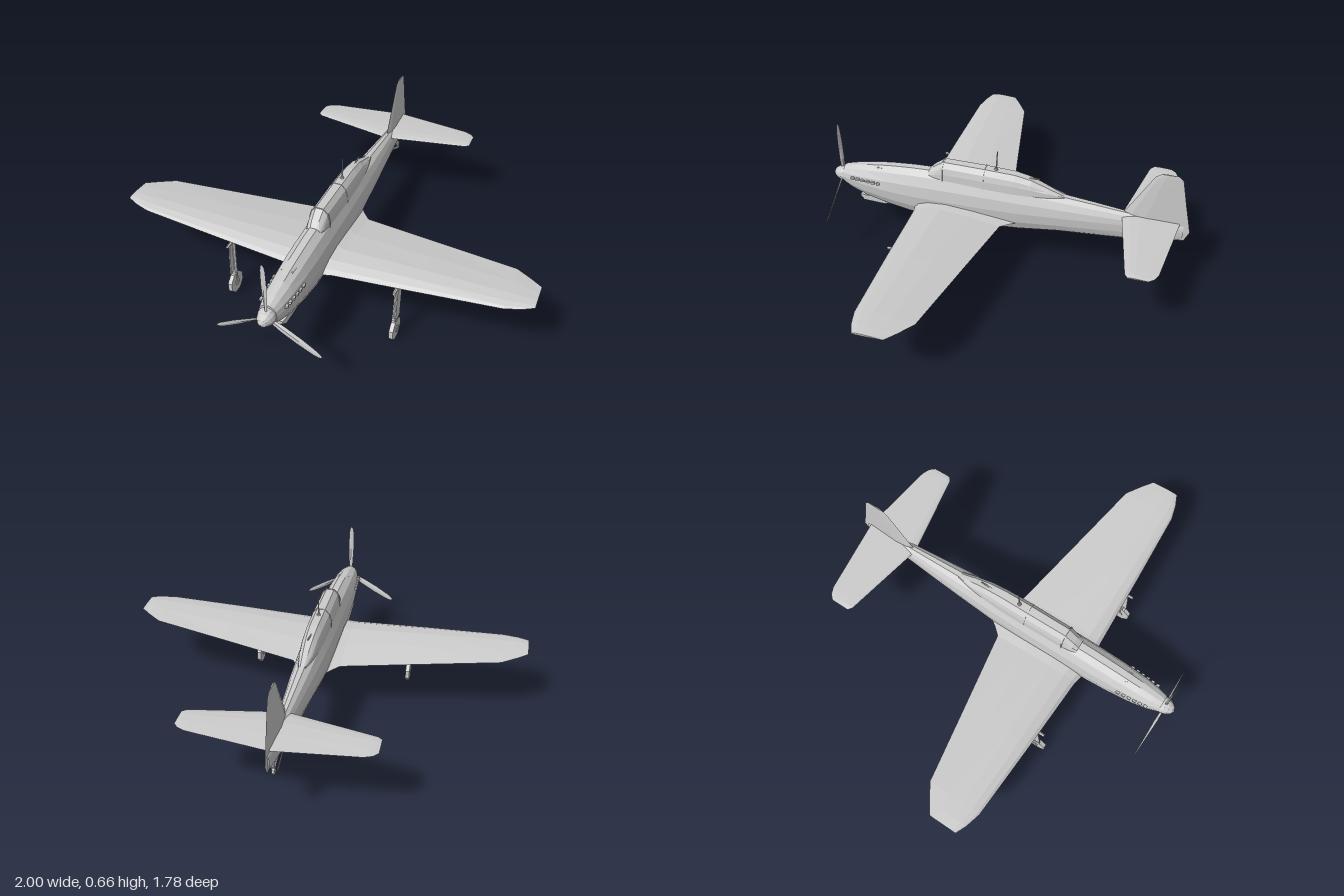
import * as THREE from 'three';

const mat = new THREE.MeshStandardMaterial({ color: 0xcccccc, flatShading: true, side: THREE.DoubleSide });

// Skin closed rings of [x, y, z] points, cap both ends, and turn faces outward.
function loft(rings) {
  const n = rings[0].length, pos = rings.flat(2), idx = [];
  for (let i = 0; i < rings.length - 1; i++)
    for (let j = 0; j < n; j++) {
      const a = i * n + j, b = i * n + (j + 1) % n;
      idx.push(a, b, a + n, b, b + n, a + n);
    }
  const last = (rings.length - 1) * n;
  for (let j = 1; j < n - 1; j++) {
    idx.push(0, j + 1, j);
    idx.push(last, last + j, last + j + 1);
  }
  let volume = 0;
  const p = k => new THREE.Vector3().fromArray(pos, k * 3);
  for (let t = 0; t < idx.length; t += 3) volume += p(idx[t]).dot(p(idx[t + 1]).cross(p(idx[t + 2])));
  if (volume < 0) idx.reverse();
  const g = new THREE.BufferGeometry();
  g.setAttribute('position', new THREE.Float32BufferAttribute(pos, 3));
  g.setIndex(idx);
  g.computeVertexNormals();
  return g;
}

function add(parent, name, geometry, x = 0, y = 0, z = 0) {
  const m = new THREE.Mesh(geometry, mat);
  m.name = name;
  m.position.set(x, y, z);
  parent.add(m);
  return m;
}

// Straight round bar between two points
function bar(parent, name, a, b, r0, r1 = r0, sides = 6) {
  const A = new THREE.Vector3(...a), B = new THREE.Vector3(...b), d = B.clone().sub(A);
  const m = add(parent, name, new THREE.CylinderGeometry(r1, r0, d.length(), sides));
  m.position.copy(A).add(B).multiplyScalar(0.5);
  m.quaternion.setFromUnitVectors(new THREE.Vector3(0, 1, 0), d.normalize());
  return m;
}

// Aerofoil: fraction of chord from the leading edge, height factor
const FOIL = [[0, 0], [0.04, 0.45], [0.14, 0.85], [0.32, 1], [0.62, 0.7], [1, 0.03],
  [0.62, -0.3], [0.32, -0.45], [0.12, -0.42], [0.03, -0.25]];

// Station: [x, leading z, trailing z, y, thickness]; mirrored to both sides
function wing(stations) {
  const ring = ([x, lead, trail, y, t], s) => FOIL.map(([f, h]) => [s * x, y + h * t, lead + (trail - lead) * f]);
  return loft([...stations.slice().reverse().map(s => ring(s, -1)), ...stations.map(s => ring(s, 1))]);
}

export function createModel() {
  const plane = new THREE.Group();
  plane.name = 'aeroplane';

  // Fuselage: [z, top, bottom, half width, height of widest point]
  const body = [
    [0.825, 0.425, 0.325, 0.042, 0.375], [0.78, 0.438, 0.3, 0.054, 0.372], [0.7, 0.456, 0.268, 0.066, 0.365],
    [0.58, 0.474, 0.238, 0.074, 0.355], [0.46, 0.484, 0.214, 0.077, 0.35], [0.34, 0.489, 0.206, 0.077, 0.35],
    [0.1, 0.488, 0.208, 0.076, 0.35], [-0.08, 0.478, 0.222, 0.071, 0.352], [-0.28, 0.457, 0.249, 0.06, 0.358],
    [-0.45, 0.439, 0.26, 0.047, 0.362], [-0.6, 0.422, 0.271, 0.034, 0.365], [-0.75, 0.408, 0.289, 0.021, 0.365],
    [-0.86, 0.39, 0.312, 0.009, 0.355]];
  add(plane, 'fuselage', loft(body.map(([z, top, low, w, mid]) =>
    Array.from({ length: 14 }, (_, i) => {
      const a = i / 14 * Math.PI * 2, c = Math.cos(a), s = Math.sin(a);
      return [w * Math.sign(c) * Math.abs(c) ** (s > 0 ? 1 : 0.8), mid + s * (s > 0 ? top - mid : mid - low), z];
    }))));

  // Canopy: [z, top, fold, half width]
  const canopySection = ([z, top, fold, w]) => [[-w, 0.43, z], [-w * 0.93, (fold + 0.46) / 2, z], [-w * 0.78, fold, z],
    [-w * 0.38, top, z], [w * 0.38, top, z], [w * 0.78, fold, z], [w * 0.93, (fold + 0.46) / 2, z], [w, 0.43, z]];
  const canopy = [[0.37, 0.485, 0.478, 0.038], [0.345, 0.51, 0.492, 0.045], [0.295, 0.545, 0.522, 0.05], [0.09, 0.542, 0.518, 0.052],
    [-0.06, 0.536, 0.512, 0.049], [-0.14, 0.52, 0.5, 0.044], [-0.22, 0.487, 0.475, 0.034], [-0.3, 0.452, 0.448, 0.018]];
  add(plane, 'canopy', loft(canopy.map(canopySection)));
  for (const [z, top, fold] of [[0.295, 0.547, 0.524], [0.09, 0.544, 0.52]])
    add(plane, 'canopyFrame', loft([z - 0.003, z + 0.003].map(q => canopySection([q, top, fold, 0.0535]))));

  // Wings, tailplane and fin
  add(plane, 'wing', wing([[0.05, 0.44, -0.1, 0.288, 0.05], [0.08, 0.435, -0.055, 0.29, 0.047], [0.118, 0.428, -0.012, 0.293, 0.042],
    [0.5, 0.412, 0.057, 0.318, 0.032], [0.875, 0.393, 0.124, 0.342, 0.019], [0.95, 0.373, 0.174, 0.348, 0.014], [1, 0.35, 0.212, 0.353, 0.007]]));
  add(plane, 'tailplane', wing([[0.01, -0.573, -0.84, 0.402, 0.011], [0.375, -0.643, -0.793, 0.402, 0.008],
    [0.41, -0.65, -0.778, 0.402, 0.007], [0.43, -0.665, -0.755, 0.402, 0.004]]));
  // Fin: [y, leading z, trailing z, half thickness]
  add(plane, 'fin', loft([[0.31, -0.8, -0.868, 0.008], [0.36, -0.66, -0.89, 0.012], [0.415, -0.578, -0.878, 0.014],
    [0.5, -0.625, -0.858, 0.011], [0.6, -0.68, -0.836, 0.007], [0.64, -0.703, -0.827, 0.005], [0.66, -0.73, -0.805, 0.003]]
    .map(([y, a, b, t]) => [[0, 0], [0.12, 0.7], [0.35, 1], [1, 0.05], [0.35, -1], [0.12, -0.7]].map(([f, h]) => [h * t, y, a + (b - a) * f]))));

  // Propeller
  const prop = new THREE.Group();
  prop.name = 'propeller';
  prop.position.set(0, 0.372, 0.84);
  plane.add(prop);
  const spinner = [[0, -0.02], [0.041, -0.02], [0.041, 0], [0.034, 0.02], [0.02, 0.04], [0, 0.05]].map(p => new THREE.Vector2(...p));
  add(prop, 'spinner', new THREE.LatheGeometry(spinner, 12)).rotation.x = Math.PI / 2;
  for (let i = 0; i < 3; i++) {
    // Blade: [radius, half width, half thickness, twist]
    const blade = loft([[0.02, 0.008, 0.006, 0.7], [0.08, 0.014, 0.004, 0.5], [0.17, 0.016, 0.003, 0.3], [0.25, 0.013, 0.002, 0.2], [0.272, 0.009, 0.0015, 0.2], [0.282, 0.003, 0.001, 0.2]]
      .map(([r, w, t, k]) => [[w, 0], [0, t], [-w, 0], [0, -t]].map(([u, v]) =>
        [u * Math.cos(k) - v * Math.sin(k), r, u * Math.sin(k) + v * Math.cos(k)])));
    add(prop, 'propellerBlade', blade).rotation.z = i * Math.PI * 2 / 3;
  }

  // Chin intake, open at the front
  const intake = [[0.75, 0.024, 0.252, 0.27], [0.73, 0.031, 0.234, 0.275], [0.62, 0.031, 0.229, 0.27], [0.575, 0.018, 0.238, 0.26]];
  add(plane, 'chinIntake', loft(intake.map(([z, w, lo, hi]) =>
    [[-w, hi, z], [w, hi, z], [w, lo + 0.01, z], [w * 0.65, lo, z], [-w * 0.65, lo, z], [-w, lo + 0.01, z]])));

  // Mast and rear sight on the canopy
  bar(plane, 'aerialMast', [0, 0.53, 0.037], [0, 0.64, 0.03], 0.004, 0.0025);
  bar(plane, 'mastFoot', [0, 0.535, 0.037], [0, 0.546, 0.036], 0.012, 0.008, 8);
  bar(plane, 'rearProbe', [0, 0.521, -0.09], [0, 0.524, -0.175], 0.004, 0.003);

  for (const s of [-1, 1]) {
    // Exhaust stubs and nose gun blisters
    for (let i = 0; i < 6; i++)
      add(plane, 'exhaustStub', new THREE.BoxGeometry(0.012, 0.011, 0.017), s * (0.059 + i * 0.0022), 0.388, 0.765 - i * 0.028).rotation.y = s * 0.15;
    bar(plane, 'gunBlister', [s * 0.026, 0.455, 0.56], [s * 0.024, 0.454, 0.64], 0.007, 0.004);

    // Main undercarriage
    const gear = new THREE.Group();
    gear.name = s > 0 ? 'leftGear' : 'rightGear';
    gear.position.x = s * 0.41;
    plane.add(gear);
    add(gear, 'wheel', new THREE.CylinderGeometry(0.057, 0.057, 0.02, 8).rotateY(Math.PI / 8).rotateZ(Math.PI / 2), 0, 0.055, 0.403);
    add(gear, 'wheelHub', new THREE.CylinderGeometry(0.018, 0.018, 0.026, 8).rotateZ(Math.PI / 2), 0, 0.055, 0.403);
    bar(gear, 'gearLeg', [-s * 0.008, 0.06, 0.403], [-s * 0.004, 0.31, 0.388], 0.008);
    add(gear, 'gearDoor', loft([[0.118, 0.368, 0.428], [0.2, 0.363, 0.422], [0.29, 0.356, 0.412]].map(([y, a, b]) =>
      [[s * 0.004, y, a], [s * 0.01, y, a], [s * 0.01, y, b], [s * 0.004, y, b]])));
    add(gear, 'wheelFork', new THREE.BoxGeometry(0.02, 0.022, 0.024), -s * 0.002, 0.113, 0.401);
    bar(gear, 'legLamp', [0, 0.296, 0.39], [0, 0.297, 0.442], 0.009, 0.007);

    // Underwing rack
    const rack = add(plane, 'underwingRack', new THREE.SphereGeometry(0.013, 8, 6), s * 0.48, 0.277, 0.29);
    rack.scale.z = 4;
    add(plane, 'rackPylon', new THREE.BoxGeometry(0.008, 0.03, 0.05), s * 0.48, 0.295, 0.29);

    // Tail wheel doors
    add(plane, 'tailWheelDoor', new THREE.BoxGeometry(0.003, 0.014, 0.1), s * 0.013, 0.258, -0.715).rotation.x = -0.42;
  }

  // Tail wheel
  bar(plane, 'tailWheelLeg', [0, 0.3, -0.765], [0, 0.247, -0.775], 0.005);
  bar(plane, 'tailWheelBrace', [0, 0.285, -0.68], [0, 0.247, -0.775], 0.004);
  add(plane, 'tailWheel', new THREE.CylinderGeometry(0.015, 0.015, 0.012, 8).rotateZ(Math.PI / 2), 0, 0.245, -0.776);
  return plane;
}
